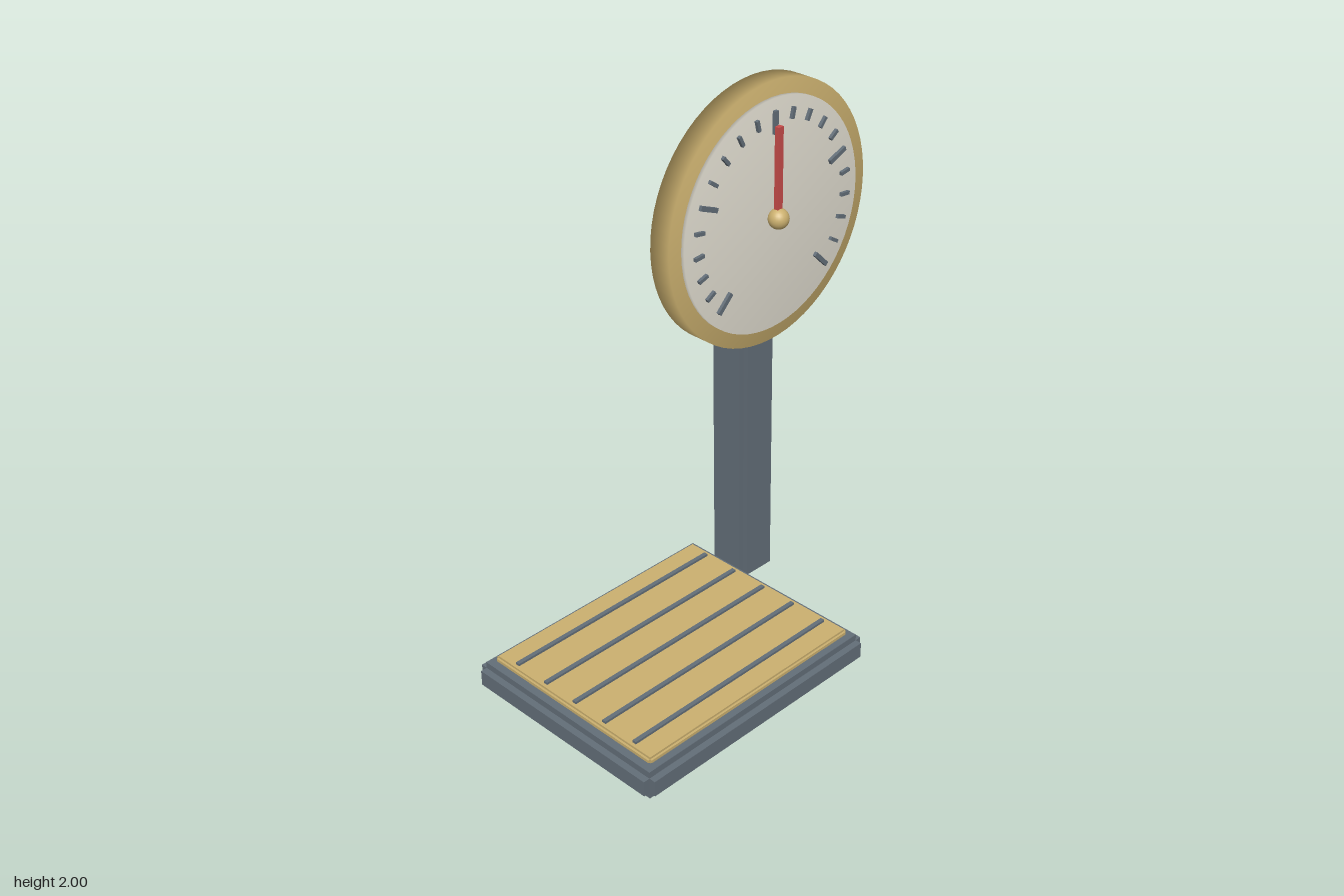
import * as THREE from 'three';
import { mergeVertices } from 'three/addons/utils/BufferGeometryUtils.js';

const material = (name, color) => {
  const m = new THREE.MeshStandardMaterial({ color });
  m.name = name;
  return m;
};

export function createModel() {
  const iron = material('iron', 0x636e78);
  const brass = material('brass', 0xcbb06f);
  const cream = material('cream', 0xe4e0d3);
  const red = material('red', 0xc84c4a);

  const model = new THREE.Group();
  model.name = 'platformScale';

  const add = (parent, name, geometry, mat, x, y, z) => {
    const mesh = new THREE.Mesh(geometry, mat);
    mesh.name = name;
    mesh.position.set(x, y, z);
    parent.add(mesh);
    return mesh;
  };

  // Block with stepped edges: three crossing boxes, each full size on one axis
  const steppedBlock = (name, mat, min, max, step) => {
    const group = new THREE.Group();
    group.name = name;
    const size = max.map((v, i) => v - min[i]);
    const centre = max.map((v, i) => (v + min[i]) / 2);
    for (let axis = 0; axis < 3; axis++) {
      const s = size.map((v, i) => (i === axis ? v : v - 2 * step));
      add(group, name + 'Core', new THREE.BoxGeometry(...s), mat, ...centre);
    }
    model.add(group);
  };

  // Disc facing +z with softly shaded, domed-looking normals
  const softDisc = (radius, depth) => {
    const g = new THREE.CylinderGeometry(radius, radius, depth, 64);
    g.deleteAttribute('normal');
    g.deleteAttribute('uv');
    const merged = mergeVertices(g, 1e-4);
    merged.computeVertexNormals();
    return merged.rotateX(Math.PI / 2);
  };

  // Weighing platform and column
  steppedBlock('base', iron, [-0.84, 0, -0.437], [0.228, 0.11, 0.437], 0.025);
  steppedBlock('deck', brass, [-0.79, 0.108, -0.39], [0.18, 0.135, 0.39], 0.008);
  for (let i = -2; i <= 2; i++) {
    add(model, 'deckRib', new THREE.BoxGeometry(0.925, 0.016, 0.016), iron, -0.307, 0.136, i * 0.147);
  }
  steppedBlock('column', iron, [0.265, 0, -0.378], [0.435, 1.17, -0.205], 0.021);

  // Dial head
  const dial = new THREE.Group();
  dial.name = 'dial';
  dial.position.set(0.35, 1.515, 0);
  model.add(dial);
  add(dial, 'dialCase', softDisc(0.485, 0.087), brass, 0, 0, -0.2065);
  add(dial, 'dialFace', softDisc(0.428, 0.03), cream, 0, 0, -0.164);

  // Tick marks sweep 270 degrees, every fifth one long
  for (let i = -10; i <= 10; i++) {
    const long = i % 5 === 0;
    const length = long ? 0.083 : 0.042;
    const angle = THREE.MathUtils.degToRad(i * 13.5);
    const r = 0.386 - length / 2;
    const tick = add(dial, 'tick', new THREE.BoxGeometry(long ? 0.017 : 0.013, length, 0.012), iron,
      Math.sin(angle) * r, Math.cos(angle) * r, -0.143);
    tick.rotation.z = -angle;
  }

  // Needle and hub
  add(dial, 'needle', new THREE.BoxGeometry(0.024, 0.335, 0.018), red, 0, 0.1675, -0.126);
  add(dial, 'hub', new THREE.SphereGeometry(0.038, 24, 16), brass, 0, 0, -0.124);

  return model;
}
